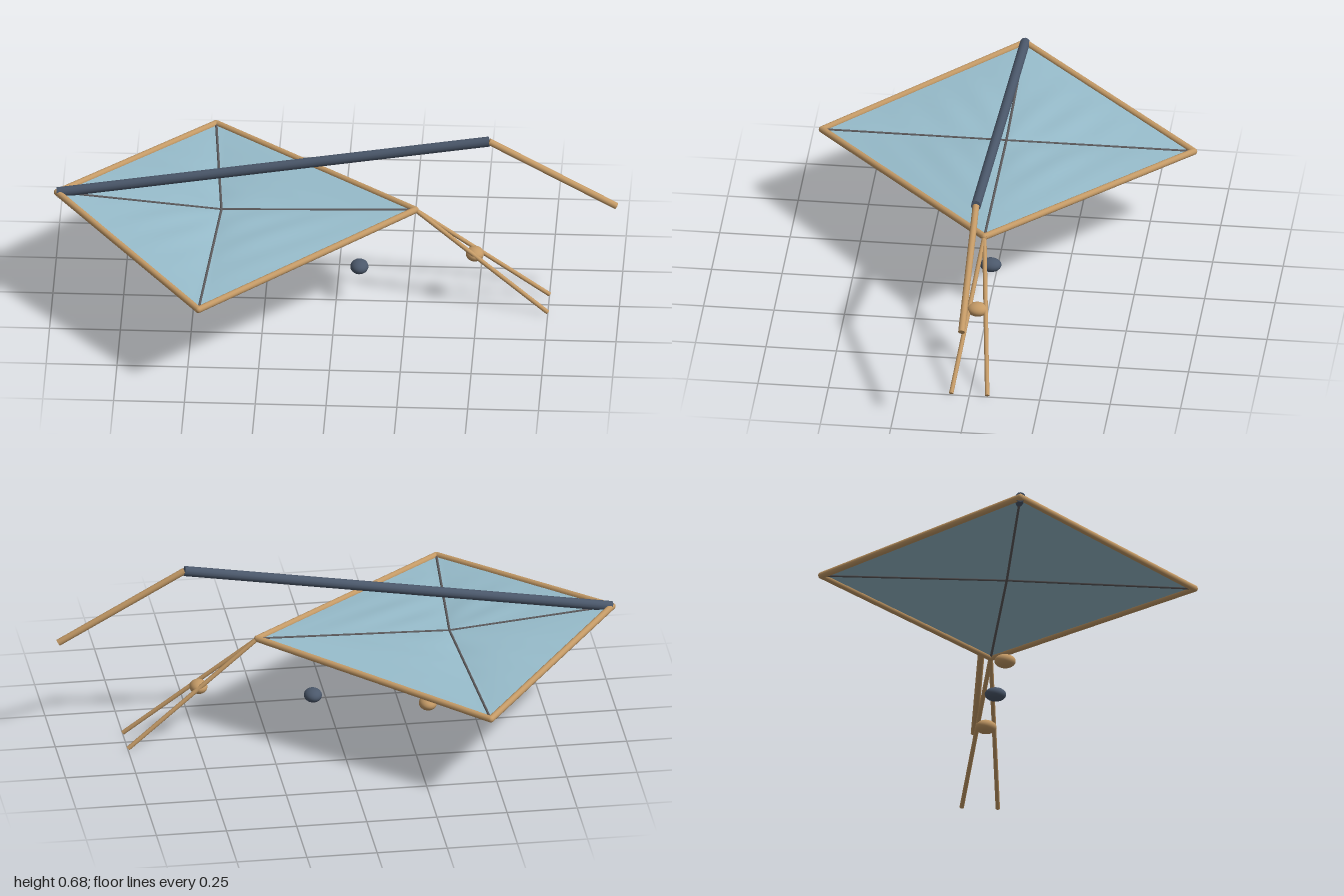
import * as THREE from 'three';

const paint = (name, color, side = THREE.FrontSide) => {
  const m = new THREE.MeshStandardMaterial({ color, side });
  m.name = name;
  return m;
};

export function createModel() {
  const model = new THREE.Group();
  model.name = 'kite';
  const wood = paint('tan wood', 0xc49a66);
  const slate = paint('slate blue', 0x4b586b);
  const cloth = paint('pale blue cloth', 0x97bccb, THREE.DoubleSide);
  const sparGrey = paint('spar grey', 0x5c5a5c);
  const V = (x, y, z) => new THREE.Vector3(x, y, z);

  const add = (name, geometry, material) => {
    const mesh = new THREE.Mesh(geometry, material);
    mesh.name = name;
    model.add(mesh);
    return mesh;
  };
  // Straight round rod between two points
  const rod = (name, a, b, r, material) => {
    const dir = b.clone().sub(a);
    const mesh = add(name, new THREE.CylinderGeometry(r, r, dir.length(), 12), material);
    mesh.position.copy(a).lerp(b, 0.5);
    mesh.quaternion.setFromUnitVectors(V(0, 1, 0), dir.normalize());
  };

  const nose = V(-0.985, 0.412, 0);
  const tail = V(0.28, 0.375, 0);
  const leftTip = V(-0.455, 0.328, 0.66);
  const rightTip = V(-0.455, 0.328, -0.66);
  const centre = V(-0.405, 0.358, 0);
  const corners = [nose, leftTip, tail, rightTip];

  // Rippled sail: rings growing from the centre to the four edges
  const rings = 24, steps = 20, around = steps * 4;
  const pos = [], index = [];
  for (let i = 0; i <= rings; i++) {
    for (let j = 0; j <= around; j++) {
      const side = Math.floor(j / steps) % 4;
      const t = (j % steps) / steps, s = i / rings;
      const p = corners[side].clone().lerp(corners[(side + 1) % 4], t);
      p.lerpVectors(centre, p, s);
      const slack = Math.sin(Math.PI * t) * Math.sin(Math.PI * s);
      p.y += slack * (0.008 + 0.0022 * Math.sin(p.x * 24 + Math.abs(p.z) * 38));
      pos.push(p.x, p.y, p.z);
      if (i < rings && j < around) {
        const a = i * (around + 1) + j, b = a + around + 1;
        if (i > 0) index.push(a, b + 1, a + 1);
        index.push(a, b, b + 1);
      }
    }
  }
  const sail = new THREE.BufferGeometry();
  sail.setAttribute('position', new THREE.Float32BufferAttribute(pos, 3));
  sail.setIndex(index);
  sail.computeVertexNormals();
  add('sail', sail, cloth);

  // Edge frame with rounded corners, and thin cross spars
  corners.forEach((c, i) => {
    rod('frameEdge', c, corners[(i + 1) % 4], 0.012, wood);
    rod('crossSpar', centre, c, 0.0045, sparGrey);
    add('frameCorner', new THREE.SphereGeometry(0.012, 12, 8), wood).position.copy(c);
  });

  // Long boom and its drooping end
  const elbow = V(0.54, 0.66, 0);
  rod('boom', nose, elbow, 0.018, slate);
  rod('boomEnd', elbow, V(0.99, 0.41, 0), 0.012, wood);

  // Forked tail
  for (const s of [1, -1]) rod('tailRod', tail, V(0.75, 0.008, s * 0.064), 0.008, wood);

  // Flattened beads
  [[0.49, 0.203, wood], [0.082, 0.14, slate], [-0.328, 0.079, wood]].forEach(([x, y, m]) => {
    const bead = add('bead', new THREE.SphereGeometry(1, 24, 16), m);
    bead.scale.set(0.032, 0.024, 0.038);
    bead.position.set(x, y, 0);
  });
  return model;
}
